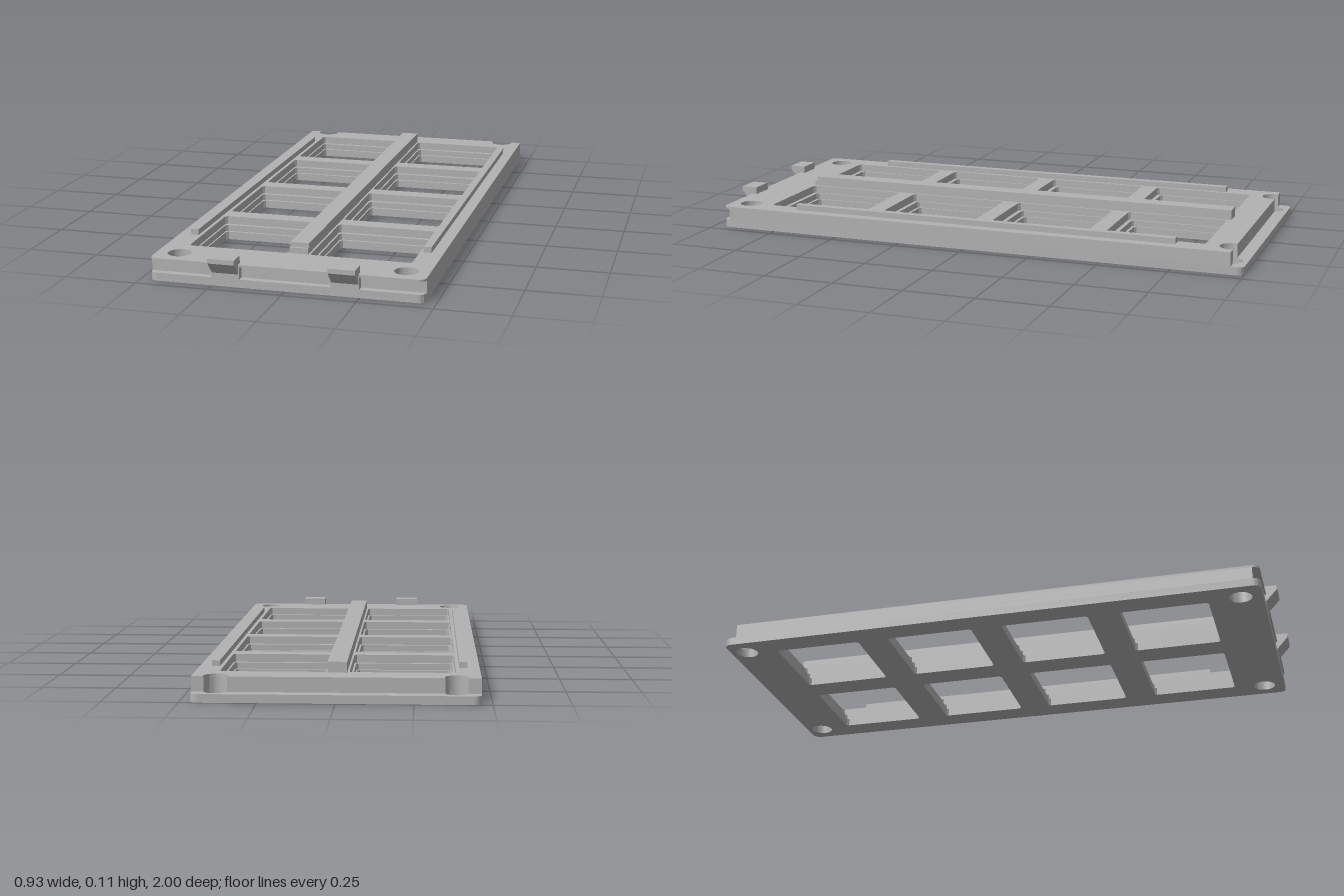
import * as THREE from 'three';
import { toCreasedNormals } from 'three/addons/utils/BufferGeometryUtils.js';

const HALF = 0.465, BACK = -1, STEP = -0.955, FRONT = 0.96, GROOVE = 0.935;
const HOLE_X = 0.387, HOLE_R = 0.04, BACK_HOLE = -0.942, FRONT_HOLE = 0.884;
const WINDOW_X = 0.212, WINDOW_Z = [-0.67, -0.242, 0.185, 0.614];

// Shapes are drawn in plan with shape y = -z, then laid flat.
function outline(front, back, frontR, backR, notched) {
  const s = new THREE.Shape();
  s.moveTo(-HALF + frontR, -front);
  s.lineTo(HALF - frontR, -front);
  if (frontR) s.absarc(HALF - frontR, -front + frontR, frontR, -Math.PI / 2, 0, false);
  s.lineTo(HALF, -back - backR);
  if (backR) s.absarc(HALF - backR, -back - backR, backR, 0, Math.PI / 2, false);
  if (notched) {
    // Screw holes break through the back wall
    const a = Math.asin((BACK_HOLE - back) / HOLE_R);
    for (const x of [HOLE_X, -HOLE_X]) {
      s.lineTo(x + HOLE_R * Math.cos(a), -back);
      s.absarc(x, -BACK_HOLE, HOLE_R, a, Math.PI - a, true);
    }
  }
  s.lineTo(-HALF + backR, -back);
  if (backR) s.absarc(-HALF + backR, -back - backR, backR, Math.PI / 2, Math.PI, false);
  s.lineTo(-HALF, -front + frontR);
  if (frontR) s.absarc(-HALF + frontR, -front + frontR, frontR, Math.PI, Math.PI * 1.5, false);
  return s;
}

function addHole(shape, x, z) {
  const p = new THREE.Path();
  p.absarc(x, -z, HOLE_R, 0, Math.PI * 2, true);
  shape.holes.push(p);
}

function addWindow(shape, x, z, w, d, c) {
  const a = w / 2, b = d / 2;
  const corners = [[-a + c, -b], [a - c, -b], [a, -b + c], [a, b - c],
    [a - c, b], [-a + c, b], [-a, b - c], [-a, -b + c]];
  shape.holes.push(new THREE.Path(corners.map(([u, v]) => new THREE.Vector2(x + u, v - z))));
}

export function createModel() {
  const root = new THREE.Group();
  root.name = 'windowedPanel';
  const grey = new THREE.MeshStandardMaterial({ color: 0xb2b2b2 });
  grey.name = 'plain grey';

  const add = (name, geometry, parent = root) => {
    const mesh = new THREE.Mesh(geometry, grey);
    mesh.name = name;
    parent.add(mesh);
    return mesh;
  };
  const box = (name, x0, x1, y0, y1, z0, z1) => {
    const g = new THREE.BoxGeometry(x1 - x0, y1 - y0, z1 - z0);
    g.translate((x0 + x1) / 2, (y0 + y1) / 2, (z0 + z1) / 2);
    return add(name, g);
  };

  // Frame layers; the windows widen upward in steps
  const layers = [
    { name: 'basePlate', y: [0, 0.028], front: FRONT, back: BACK, fr: 0.025, br: 0.025, win: [0.323, 0.314] },
    { name: 'groovedFrame', y: [0.028, 0.05], front: GROOVE, back: STEP, fr: 0, br: 0, win: [0.333, 0.335] },
    { name: 'pocketFrame', y: [0.05, 0.07], front: GROOVE, back: STEP, fr: 0, br: 0, win: [0.346, 0.366] },
    { name: 'topFrame', y: [0.07, 0.078], front: FRONT, back: STEP, fr: 0.025, br: 0, win: [0.346, 0.366] },
  ];
  for (const l of layers) {
    const shape = outline(l.front, l.back, l.fr, l.br, l.back === STEP);
    for (const side of [-1, 1]) {
      addHole(shape, side * HOLE_X, FRONT_HOLE);
      if (l.back === BACK) addHole(shape, side * HOLE_X, BACK_HOLE);
      for (const z of WINDOW_Z) addWindow(shape, side * WINDOW_X, z, l.win[0], l.win[1], 0.008);
    }
    const g = new THREE.ExtrudeGeometry(shape, { depth: l.y[1] - l.y[0], bevelEnabled: false, curveSegments: 16 });
    g.rotateX(-Math.PI / 2).translate(0, l.y[0], 0);
    add(l.name, toCreasedNormals(g, 0.6));
  }

  // Raised rails
  box('centreRailBase', -0.032, 0.032, 0.07, 0.098, -0.867, 0.795);
  box('centreRailTop', -0.032, 0.032, 0.098, 0.114, -0.867, 0.785);
  for (const side of [-1, 1]) {
    const x = side * 0.411;
    box('sideRail', x - 0.0135, x + 0.0135, 0.07, 0.098, -0.757, 0.676);
  }

  // Front clips: a post bridging the groove and a hook with a sloped underside
  const hook = new THREE.Shape([[0.94, 0.045], [0.96, 0.045], [1, 0.088], [1, 0.104], [0.94, 0.104]]
    .map(([z, y]) => new THREE.Vector2(-z, y)));
  for (const side of [-1, 1]) {
    const x = side * 0.202;
    box('clipPost', x - 0.048, x + 0.048, 0.028, 0.07, 0.93, 0.9595);
    const g = new THREE.ExtrudeGeometry(hook, { depth: 0.09, bevelEnabled: false });
    g.rotateY(Math.PI / 2).translate(x - 0.045, 0, 0);
    add('clipHook', g);
  }
  return root;
}
